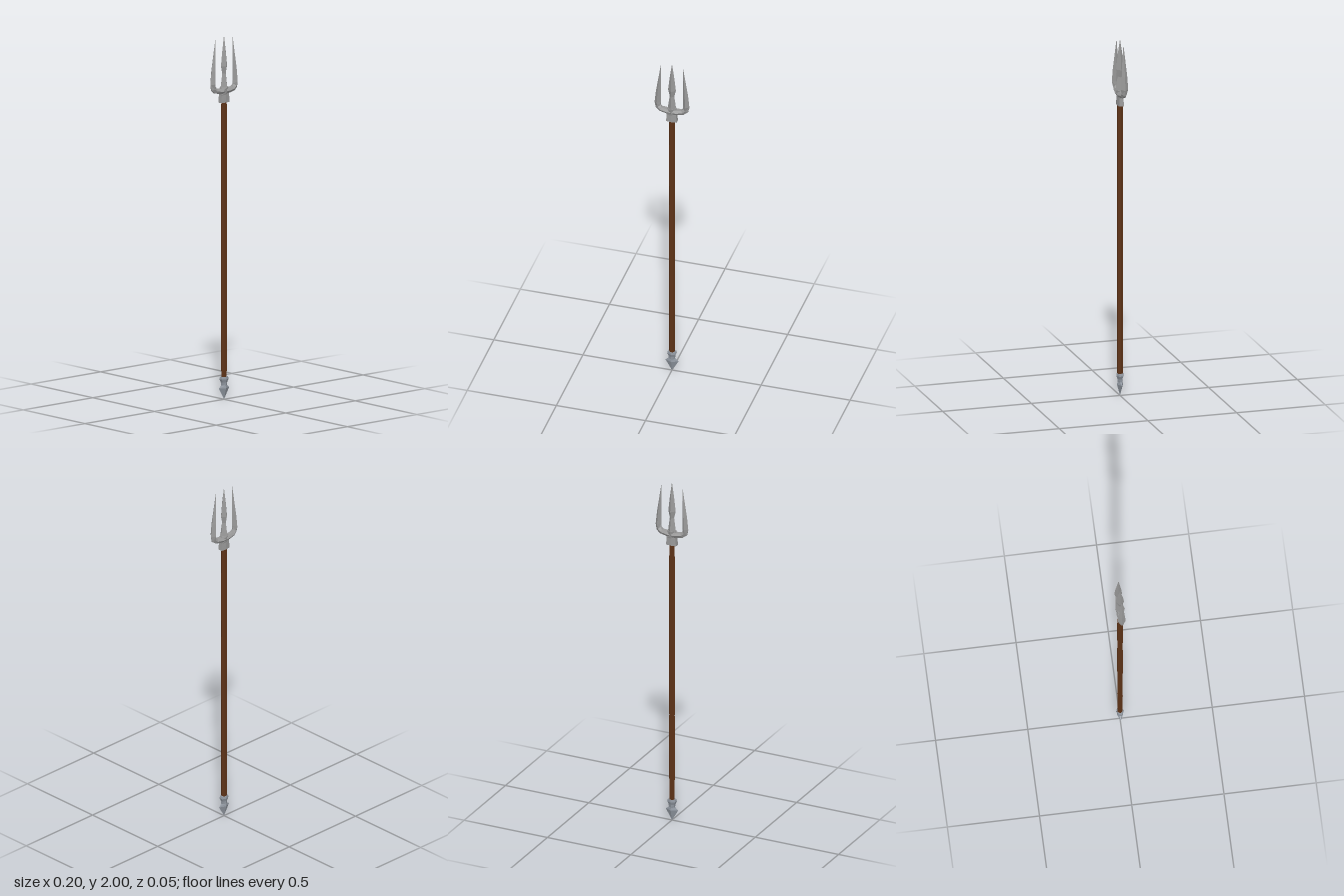
import * as THREE from 'three';

// Lofts six-sided sections. Each row: [ax, ay, bx, by, z, f]
// a and b are the section's left and right points along the path, z its half depth,
// f the flatness of the a and b edges (0 gives a diamond).
function loft(rows, mirror = false) {
  const s = mirror ? -1 : 1;
  const rings = rows.map(([ax, ay, bx, by, z, f]) => {
    const mx = (ax + bx) / 2, my = (ay + by) / 2;
    return [[bx, by, -f * z], [bx, by, f * z], [mx, my, z], [ax, ay, f * z], [ax, ay, -f * z], [mx, my, -z]]
      .map(([x, y, d]) => new THREE.Vector3(s * x, y, d));
  });
  const pos = [];
  const tri = (a, b, c) => {
    const area = b.clone().sub(a).cross(c.clone().sub(a)).length();
    if (area < 1e-9) return;
    for (const v of mirror ? [a, c, b] : [a, b, c]) pos.push(v.x, v.y, v.z);
  };
  for (let i = 0; i < rings.length - 1; i++) {
    const lo = rings[i], up = rings[i + 1];
    for (let j = 0; j < 6; j++) {
      const k = (j + 1) % 6;
      tri(lo[j], up[j], lo[k]);
      tri(lo[k], up[j], up[k]);
    }
  }
  const first = rings[0], last = rings[rings.length - 1];
  for (let j = 1; j < 5; j++) {
    tri(first[0], first[j], first[j + 1]);
    tri(last[0], last[j + 1], last[j]);
  }
  const g = new THREE.BufferGeometry();
  g.setAttribute('position', new THREE.Float32BufferAttribute(pos, 3));
  g.computeVertexNormals();
  return g;
}

// Upright symmetric section at height y
const level = (y, x, z, f = 0) => [-x, y, x, y, z, f];

export function createModel() {
  const steel = new THREE.MeshStandardMaterial({ name: 'steel', color: 0x999999, flatShading: true });
  const paleSteel = new THREE.MeshStandardMaterial({ name: 'pale steel', color: 0x9097a0, flatShading: true });
  const wood = new THREE.MeshStandardMaterial({ name: 'wood', color: 0x5e3317, flatShading: true });
  const model = new THREE.Group();
  model.name = 'trident';
  const add = (name, geometry, material) => {
    const m = new THREE.Mesh(geometry, material);
    m.name = name;
    model.add(m);
  };

  // Hand-carved hexagonal shaft with slightly uneven thickness
  const shaft = new THREE.CylinderGeometry(1, 1, 1.54, 6, 6, false, Math.PI / 6);
  const p = shaft.attributes.position;
  const widths = [0.016, 0.017, 0.0165, 0.0178, 0.0168, 0.0175, 0.016];
  for (let i = 0; i < p.count; i++) {
    const r = widths[Math.round((p.getY(i) / 1.54 + 0.5) * 6)];
    p.setXYZ(i, p.getX(i) * r, p.getY(i) + 0.88, p.getZ(i) * r * 0.94);
  }
  add('shaft', shaft, wood);

  // Socket joining the head to the shaft
  add('socket', loft([
    level(1.63, 0.03, 0.017, 0.75),
    level(1.672, 0.026, 0.016, 0.75),
    level(1.69, 0.028, 0.02, 0.5),
    level(1.715, 0.023, 0.026, 0.3),
  ]), steel);

  // Centre prong: waisted stem and diamond blade
  add('centreProng', loft([
    level(1.69, 0.027, 0.02),
    level(1.715, 0.023, 0.026),
    level(1.79, 0.013, 0.014),
    level(1.83, 0.022, 0.022),
    level(1.91, 0.013, 0.014),
    level(2.0, 0, 0),
  ]), steel);

  // Side prongs: curved arm rising into a diamond spike
  const sideProng = [
    [0.0, 1.708, 0.0, 1.676, 0.021, 0.6],
    [0.025, 1.706, 0.025, 1.68, 0.021, 0.6],
    [0.055, 1.71, 0.068, 1.687, 0.016, 0.55],
    [0.064, 1.723, 0.09, 1.703, 0.015, 0.3],
    [0.062, 1.745, 0.098, 1.735, 0.021, 0],
    [0.062, 1.81, 0.09, 1.81, 0.017, 0],
    [0.062, 1.985, 0.062, 1.985, 0, 0],
  ];
  add('leftProng', loft(sideProng), steel);
  add('rightProng', loft(sideProng, true), steel);

  // Butt cap with a spade point
  add('buttCap', loft([
    level(0, 0, 0),
    level(0.063, 0.037, 0.017),
    level(0.078, 0.016, 0.014, 0.4),
    level(0.095, 0.017, 0.015, 0.5),
    level(0.112, 0.024, 0.021, 0.5),
    level(0.125, 0.021, 0.019, 0.5),
  ]), paleSteel);

  return model;
}
